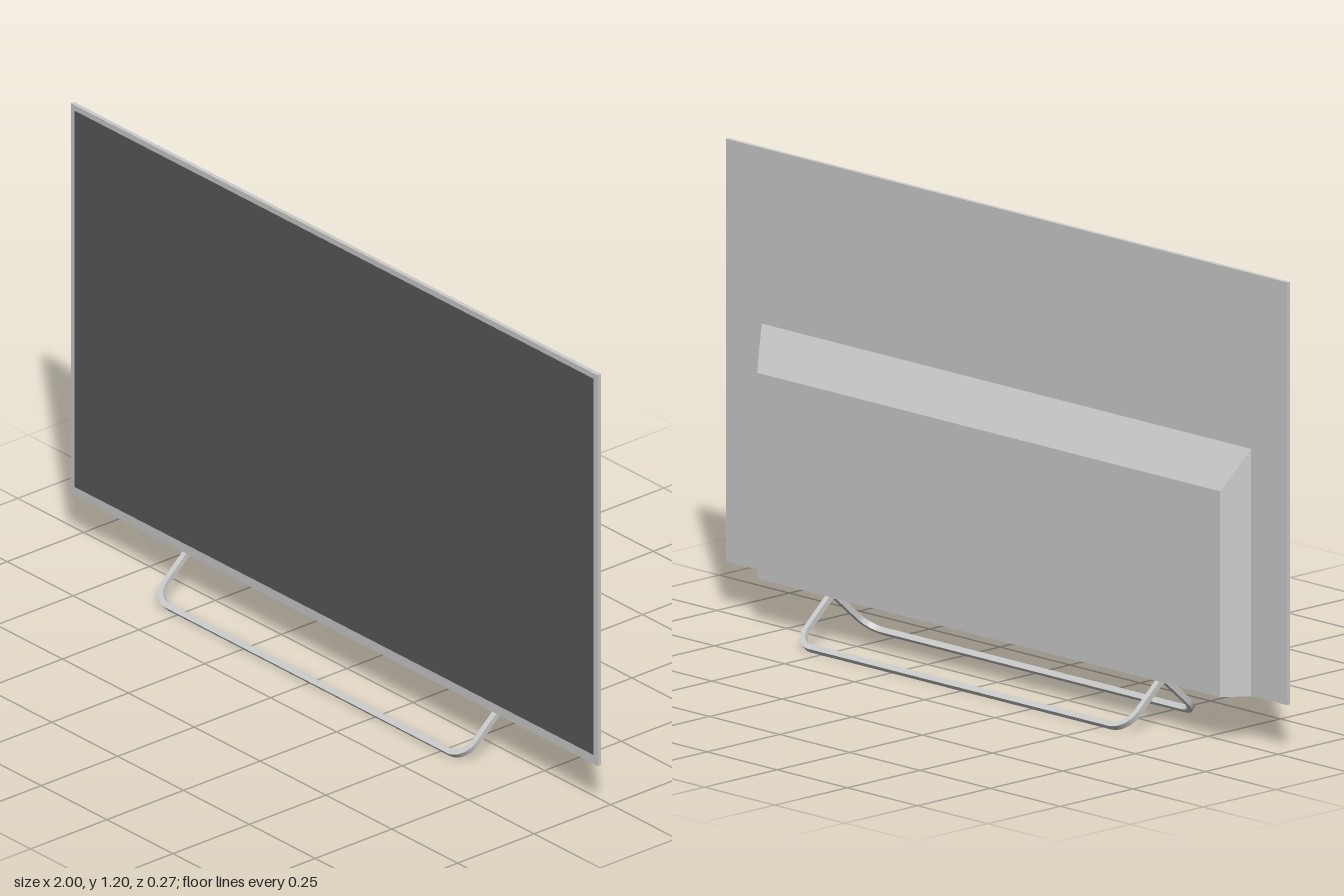
import * as THREE from 'three';
import { toCreasedNormals } from 'three/addons/utils/BufferGeometryUtils.js';

const grey = new THREE.MeshStandardMaterial({ color: 0xcccccc });
const dark = new THREE.MeshStandardMaterial({ color: 0x595959 });

function addMesh(group, name, geometry, material, x = 0, y = 0, z = 0) {
  const mesh = new THREE.Mesh(geometry, material);
  mesh.name = name;
  mesh.position.set(x, y, z);
  group.add(mesh);
}

// Rear housing: a box whose back face is narrower and lower than its front
function housingGeometry() {
  const g = new THREE.BoxGeometry(1.746, 0.634, 0.062);
  const p = g.attributes.position;
  for (let i = 0; i < p.count; i++) {
    if (p.getZ(i) > 0) continue;
    p.setX(i, Math.sign(p.getX(i)) * 0.825);
    if (p.getY(i) > 0) p.setY(i, p.getY(i) - 0.108);
  }
  g.computeVertexNormals();
  return g;
}

// Stand: a square bar swept round a rounded rectangle, then folded over a small arc
function standGeometry() {
  const half = 0.0075, halfX = 0.588, corner = 0.053;
  const fold = THREE.MathUtils.degToRad(41.5), foldR = 0.02, arc = foldR * fold;
  const halfU = 0.163, centreY = 0.094;

  // Flat centreline: x, u (distance along the leg) and the outward direction
  const path = [];
  const steps = 8;
  for (let c = 0; c < 4; c++) {
    const sx = c === 0 || c === 3 ? 1 : -1, su = c < 2 ? 1 : -1;
    for (let i = 0; i <= steps; i++) {
      const a = (c + i / steps) * Math.PI / 2;
      const nx = Math.cos(a), nu = Math.sin(a);
      path.push([sx * (halfX - corner) + corner * nx, su * (halfU - corner) + corner * nu, nx, nu]);
    }
    // Extra points where the two sides cross the fold
    if (c % 2 === 1) {
      const s = c === 1 ? -1 : 1;
      for (let i = 0; i <= steps; i++) path.push([s * halfX, s * arc * (2 * i / steps - 1), s, 0]);
    }
  }

  const folded = (x, u, t) => {
    const a = THREE.MathUtils.clamp(u / foldR, -fold, fold);
    const rest = u - a * foldR, r = foldR + t;
    return [x, centreY + r * Math.cos(a) - rest * Math.sin(a), r * Math.sin(a) + rest * Math.cos(a)];
  };

  const section = [[1, 1], [1, -1], [-1, -1], [-1, 1]];
  const positions = [], index = [];
  path.forEach(([x, u, nx, nu], i) => {
    for (const [o, t] of section) positions.push(...folded(x + o * half * nx, u + o * half * nu, t * half));
    const j = (i + 1) % path.length;
    for (let k = 0; k < 4; k++) {
      const n = (k + 1) % 4;
      const a = i * 4 + k, b = i * 4 + n, c = j * 4 + n, d = j * 4 + k;
      index.push(a, c, b, a, d, c);
    }
  });
  const g = new THREE.BufferGeometry();
  g.setAttribute('position', new THREE.Float32BufferAttribute(positions, 3));
  g.setIndex(index);
  return toCreasedNormals(g, Math.PI / 5);
}

export function createModel() {
  const model = new THREE.Group();
  model.name = 'television';

  // Thin panel with the dark display set into its front
  addMesh(model, 'panel', new THREE.BoxGeometry(2, 1.08, 0.011), grey, 0, 0.66, 0.0365);
  addMesh(model, 'screen', new THREE.PlaneGeometry(1.97, 1.04), dark, 0, 0.665, 0.0425);

  addMesh(model, 'rearHousing', housingGeometry(), grey, 0, 0.436, 0.001);
  addMesh(model, 'stand', standGeometry(), grey);
  return model;
}
